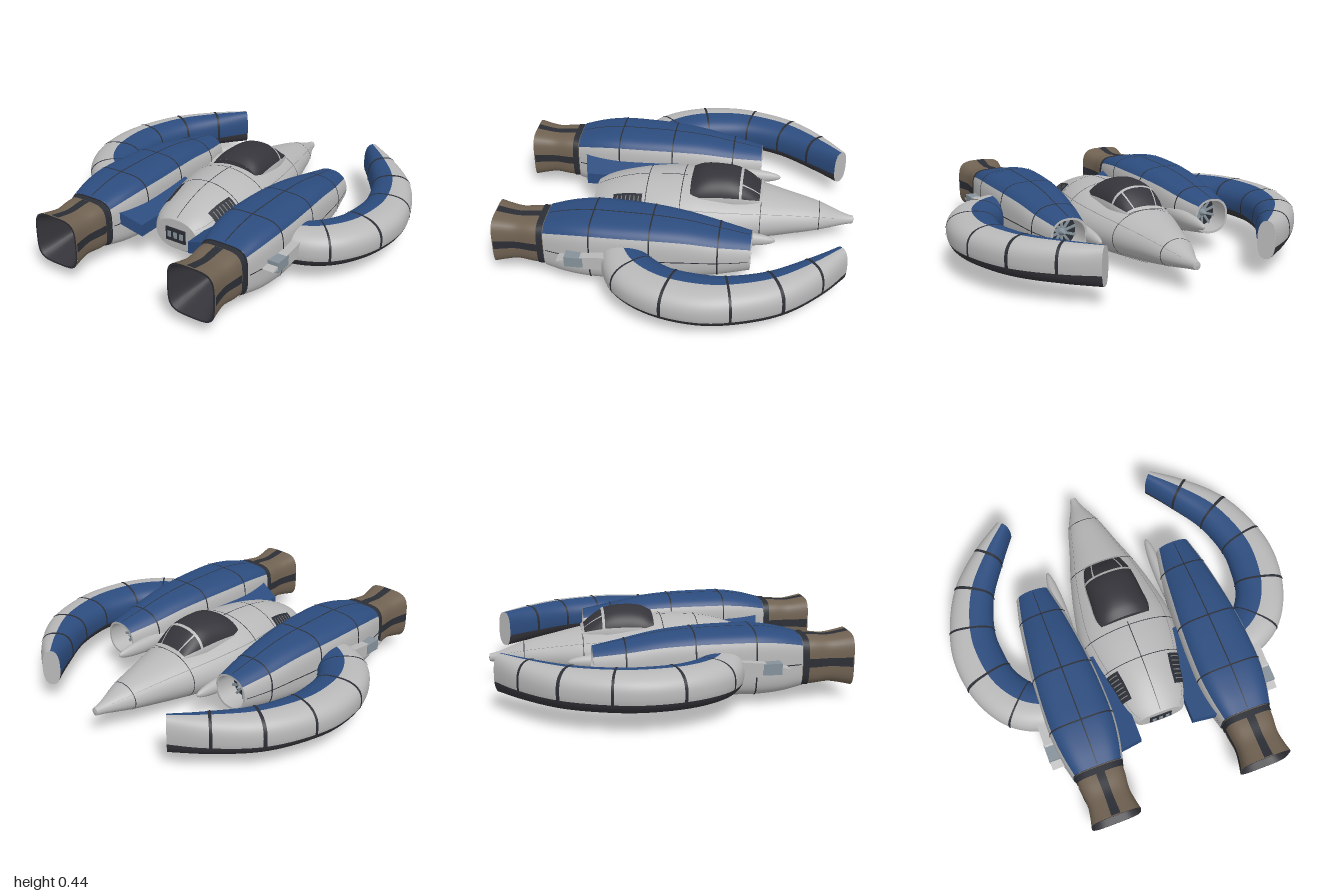
import * as THREE from 'three';
import { mergeVertices } from 'three/addons/utils/BufferGeometryUtils.js';

const mat = (name, color) => Object.assign(new THREE.MeshStandardMaterial({ color }), { name });
const M = {
  grey: mat('hull grey', 0xb8b8b8), blue: mat('panel blue', 0x2c4c7e),
  dark: mat('underside charcoal', 0x35343a), brown: mat('nozzle brown', 0x706252),
  line: mat('seam dark', 0x2b2e35), slate: mat('slate plate', 0x55626a),
  steel: mat('steel', 0x85919a), seam: mat('fine seam', 0x77797b),
};
const RAD = Math.PI / 180;

// Grid surface from a rule f(u, v) -> [x, y, z]
function surf(f, u0, u1, v0, v1, nu, nv) {
  const pos = [], idx = [];
  for (let j = 0; j <= nv; j++) for (let i = 0; i <= nu; i++)
    pos.push(...f(u0 + (u1 - u0) * i / nu, v0 + (v1 - v0) * j / nv));
  for (let j = 0; j < nv; j++) for (let i = 0; i < nu; i++) {
    const a = j * (nu + 1) + i, c = a + nu + 1;
    idx.push(a, a + 1, c, a + 1, c + 1, c);
  }
  let g = new THREE.BufferGeometry();
  g.setAttribute('position', new THREE.Float32BufferAttribute(pos, 3));
  g.setIndex(idx);
  g = mergeVertices(g, 1e-5);
  g.computeVertexNormals();
  return g;
}

// Rounded-square direction, exponent n
function oval(deg, n) {
  const c = Math.cos(deg * RAD), s = Math.sin(deg * RAD);
  const r = Math.pow(Math.abs(c) ** n + Math.abs(s) ** n, -1 / n);
  return [c * r, s * r];
}

// Body along z from rows [z, centreY, halfWidth, up, down, exponent]
function body(cx, rows) {
  const it = new THREE.CubicInterpolant(new Float32Array(rows.map(r => r[0])),
    new Float32Array(rows.flatMap(r => r.slice(1))), 5);
  const point = (deg, z, off = 0, k = 1, zOut = z) => {
    const [cy, hw, up, down, n] = it.evaluate(z), [c, s] = oval(deg, n);
    return [cx + c * (hw + off) * k, cy + s * ((s > 0 ? up : down) + off) * k, zOut];
  };
  return {
    patch: (a0, a1, z0, z1, off = 0, nu = 48, nv = 40) =>
      surf((a, z) => point(a, z, off), a0, a1, z0, z1, nu, nv),
    // flat or funnel surface between two scaled copies of the end section
    funnel: (zs, k0, k1, z0, z1, front) =>
      surf((a, v) => point(a, zs, 0, k0 + (k1 - k0) * v, z0 + (z1 - z0) * v),
        front ? 360 : 0, front ? 0 : 360, 0, 1, 48, 4),
  };
}

export function createModel() {
  const root = new THREE.Group();
  root.name = 'spaceship';
  const add = (name, g, m) => {
    const mesh = new THREE.Mesh(g, m);
    mesh.name = name;
    root.add(mesh);
  };
  // Adds the part on the +x side and its mirror on the -x side
  const pair = (name, geo, m) => {
    const g = geo.index ? geo : mergeVertices(geo);
    add(name + 'Left', g, m);
    const r = g.clone().scale(-1, 1, 1), ix = r.index;
    for (let i = 0; i < ix.count; i += 3) {
      const b = ix.getX(i + 1);
      ix.setX(i + 1, ix.getX(i + 2));
      ix.setX(i + 2, b);
    }
    add(name + 'Right', r, m);
  };
  const box = (w, h, d, x, y, z) => new THREE.BoxGeometry(w, h, d).translate(x, y, z);

  // Fuselage
  const hull = body(0, [
    [-0.975, 0.157, 0.02, 0.022, 0.022, 2], [-0.93, 0.157, 0.032, 0.032, 0.03, 2],
    [-0.78, 0.165, 0.097, 0.078, 0.068, 2], [-0.6, 0.175, 0.152, 0.11, 0.11, 2],
    [-0.45, 0.18, 0.2, 0.137, 0.135, 2], [-0.25, 0.185, 0.25, 0.163, 0.16, 2],
    [-0.05, 0.185, 0.28, 0.192, 0.175, 2], [0.1, 0.185, 0.265, 0.195, 0.18, 2],
    [0.3, 0.185, 0.215, 0.17, 0.163, 2], [0.45, 0.18, 0.18, 0.122, 0.13, 2.1],
    [0.51, 0.18, 0.135, 0.09, 0.09, 2.2]]);
  add('fuselage', hull.patch(0, 360, -0.975, 0.51, 0, 64, 60), M.grey);
  add('noseCap', hull.funnel(-0.975, 1, 0, -0.975, -0.98, true), M.grey);
  add('tailFace', hull.funnel(0.51, 1, 0, 0.51, 0.512), M.grey);
  for (const z of [-0.78, -0.45, 0, 0.2])
    add('fuselageSeam', hull.patch(0, 360, z - 0.002, z + 0.002, 0.002, 64, 1), M.line);
  for (const a of [35, 145, 215, 325])
    add('fuselageLongSeam', hull.patch(a - 0.4, a + 0.4, -0.9, 0.5, 0.002, 1, 50), M.seam);
  add('spineSeam', hull.patch(89.5, 90.5, -0.02, 0.5, 0.002, 1, 30), M.line);
  add('bellyPlateRear', hull.patch(232, 308, -0.03, 0.42, 0.004, 20, 20), M.slate);
  add('bellyPlateFront', hull.patch(235, 305, -0.62, -0.43, 0.004, 16, 8), M.slate);

  // Tail panel and deck vents
  add('tailPanel', box(0.13, 0.08, 0.008, 0, 0.178, 0.514), M.line);
  for (const x of [-0.04, 0, 0.04])
    add('tailLight', box(0.022, 0.035, 0.008, x, 0.178, 0.518), M.steel);
  pair('vent', hull.patch(24, 51, 0.22, 0.39, 0.004, 8, 8), M.line);
  for (let i = 0; i < 6; i++)
    pair('ventSlat', hull.patch(28, 47, 0.237 + i * 0.025, 0.243 + i * 0.025, 0.008, 6, 1), M.seam);

  // Canopy with frame
  const canopy = body(0, [
    [-0.455, 0.305, 0.105, 0.014, 0.01, 2], [-0.39, 0.305, 0.13, 0.075, 0.01, 2.1],
    [-0.32, 0.305, 0.145, 0.118, 0.01, 2.2], [-0.2, 0.305, 0.155, 0.135, 0.01, 2.2],
    [-0.1, 0.305, 0.162, 0.122, 0.01, 2.2], [-0.05, 0.305, 0.158, 0.095, 0.01, 2.2]]);
  add('canopyGlass', canopy.patch(0, 180, -0.455, -0.05, 0, 40, 30), M.dark);
  add('canopyBack', canopy.funnel(-0.05, 1, 0, -0.05, -0.03), M.dark);
  for (const [z0, z1] of [[-0.455, -0.44], [-0.34, -0.325]])
    add('canopyRib', canopy.patch(0, 180, z0, z1, 0.004, 40, 2), M.grey);
  pair('canopyStrut', canopy.patch(52, 56, -0.45, -0.33, 0.004, 2, 10), M.grey);
  pair('canopyRim', canopy.patch(0, 16, -0.45, -0.06, 0.004, 4, 24), M.grey);

  // Engine nacelles
  const nacelle = body(0.44, [
    [-0.42, 0.22, 0.105, 0.1, 0.1, 2.3], [-0.25, 0.22, 0.14, 0.132, 0.127, 2.6],
    [-0.08, 0.224, 0.161, 0.16, 0.15, 3], [0.1, 0.225, 0.178, 0.175, 0.165, 3.5],
    [0.3, 0.225, 0.187, 0.18, 0.172, 3.9], [0.45, 0.225, 0.186, 0.179, 0.174, 4],
    [0.58, 0.222, 0.17, 0.165, 0.162, 4], [0.69, 0.22, 0.145, 0.14, 0.14, 4]]);
  pair('nacelleTop', nacelle.patch(38, 142, -0.42, 0.69, 0, 32, 40), M.blue);
  pair('nacelleBody', nacelle.patch(142, 398, -0.42, 0.69, 0, 64, 40), M.grey);
  pair('nacelleEnd', nacelle.funnel(0.69, 1, 0.8, 0.69, 0.69), M.line);
  for (const z of [-0.25, 0.11, 0.43])
    pair('nacelleSeam', nacelle.patch(0, 360, z - 0.004, z + 0.004, 0.003, 64, 1), M.line);
  for (const a of [0, 90, 180, 270])
    pair('nacelleLongSeam', nacelle.patch(a - 1, a + 1, -0.41, 0.68, 0.003, 2, 40), M.line);

  // Intake with fan
  pair('intakeLip', nacelle.funnel(-0.42, 1, 0.88, -0.42, -0.42, true), M.grey);
  pair('intakeWall', nacelle.funnel(-0.42, 0.88, 0.84, -0.42, -0.3, true), M.grey);
  pair('intakeBack', nacelle.funnel(-0.42, 0.86, 0, -0.3, -0.3, true), M.line);
  pair('fanHub', new THREE.ConeGeometry(0.028, 0.07, 16).rotateX(-Math.PI / 2).translate(0.44, 0.22, -0.34), M.steel);
  for (let i = 0; i < 10; i++)
    pair('fanBlade', box(0.014, 0.065, 0.006, 0, 0.052, 0).rotateZ(i * Math.PI / 5).translate(0.44, 0.22, -0.32), M.steel);

  // Exhaust nozzle
  const nozzle = body(0.44, [
    [0.69, 0.22, 0.134, 0.132, 0.132, 4], [0.76, 0.22, 0.131, 0.131, 0.131, 4],
    [0.85, 0.22, 0.122, 0.124, 0.124, 4], [0.92, 0.22, 0.131, 0.134, 0.134, 4],
    [0.975, 0.22, 0.143, 0.145, 0.145, 4]]);
  pair('nozzle', nozzle.patch(0, 360, 0.69, 0.975, 0, 64, 24), M.brown);
  pair('nozzleCollar', nozzle.patch(0, 360, 0.695, 0.73, 0.004, 64, 2), M.line);
  for (const a of [0, 90, 180, 270])
    pair('nozzleStripe', nozzle.patch(a - 10, a + 10, 0.73, 0.97, 0.003, 6, 20), M.line);
  pair('nozzleLip', nozzle.funnel(0.975, 1, 0.93, 0.975, 0.975), M.line);
  pair('nozzleInside', nozzle.funnel(0.975, 0.93, 0.32, 0.975, 0.72), M.dark);
  pair('nozzleCore', new THREE.CylinderGeometry(0.05, 0.05, 0.03, 24).rotateX(Math.PI / 2).translate(0.44, 0.22, 0.715), M.steel);

  // Curved horns: points are (x, half width, z)
  const path = new THREE.CatmullRomCurve3([
    [0.47, 0.048, -0.9], [0.605, 0.085, -0.765], [0.765, 0.115, -0.56], [0.848, 0.13, -0.33],
    [0.86, 0.14, -0.18], [0.822, 0.14, 0.02], [0.73, 0.14, 0.165], [0.62, 0.125, 0.24],
    [0.5, 0.1, 0.27]].map(p => new THREE.Vector3(...p)));
  const horn = (off = 0) => (deg, t, k = 1) => {
    const p = path.getPoint(t), d = path.getTangent(t).setY(0).normalize();
    const [c, s] = oval(deg, 2.5), w = c * (p.y + off) * k;
    return [p.x + d.z * w, 0.205 + s * (0.104 + off) * k, p.z - d.x * w];
  };
  for (const [name, a0, a1, m] of [['hornOuter', -20, 90, M.grey], ['hornInner', 90, 200, M.blue], ['hornUnderside', 200, 340, M.dark]])
    pair(name, surf((a, t) => horn()(a, t), a0, a1, 0, 1, 20, 64), m);
  pair('hornTip', surf((a, k) => horn()(a, 0, 1 - k), 360, 0, 0, 1, 40, 2), M.grey);
  for (const t of [0.135, 0.25, 0.375, 0.59, 0.76])
    pair('hornSeam', surf((a, v) => horn(0.003)(a, v), -20, 200, t - 0.004, t + 0.004, 40, 1), M.line);

  // Pylon wedge and block on the outer side of each nacelle
  const wedge = new THREE.Shape([[0.33, 0.19], [0.46, 0.185], [0.6, 0.222], [0.46, 0.258], [0.33, 0.27]].map(p => new THREE.Vector2(...p)));
  pair('pylon', new THREE.ExtrudeGeometry(wedge, { depth: 0.09, bevelEnabled: false })
    .rotateY(-Math.PI / 2).translate(0.675, 0, 0), M.grey);
  pair('pylonBlock', box(0.07, 0.06, 0.1, 0.643, 0.225, 0.505), M.steel);

  // Blue root fins between fuselage and nacelles
  const fin = new THREE.Shape([[0.24, 0.07], [0.36, 0.07], [0.36, 0.66], [0.27, 0.635], [0.155, 0.61], [0.155, 0.45]].map(p => new THREE.Vector2(...p)));
  const finGeo = new THREE.ExtrudeGeometry(fin, { depth: 0.07, bevelEnabled: false })
    .rotateX(Math.PI / 2).translate(0, 0.235, 0);
  const fp = finGeo.attributes.position;
  for (let i = 0; i < fp.count; i++) fp.setY(i, fp.getY(i) + (fp.getX(i) - 0.155) * 0.4);
  finGeo.computeVertexNormals();
  pair('rootFin', finGeo, M.blue);

  // Slim pods beside the intakes
  pair('sidePod', new THREE.SphereGeometry(1, 24, 16).rotateX(Math.PI / 2)
    .scale(0.036, 0.045, 0.26).translate(0.315, 0.2, -0.285), M.grey);
  return root;
}
